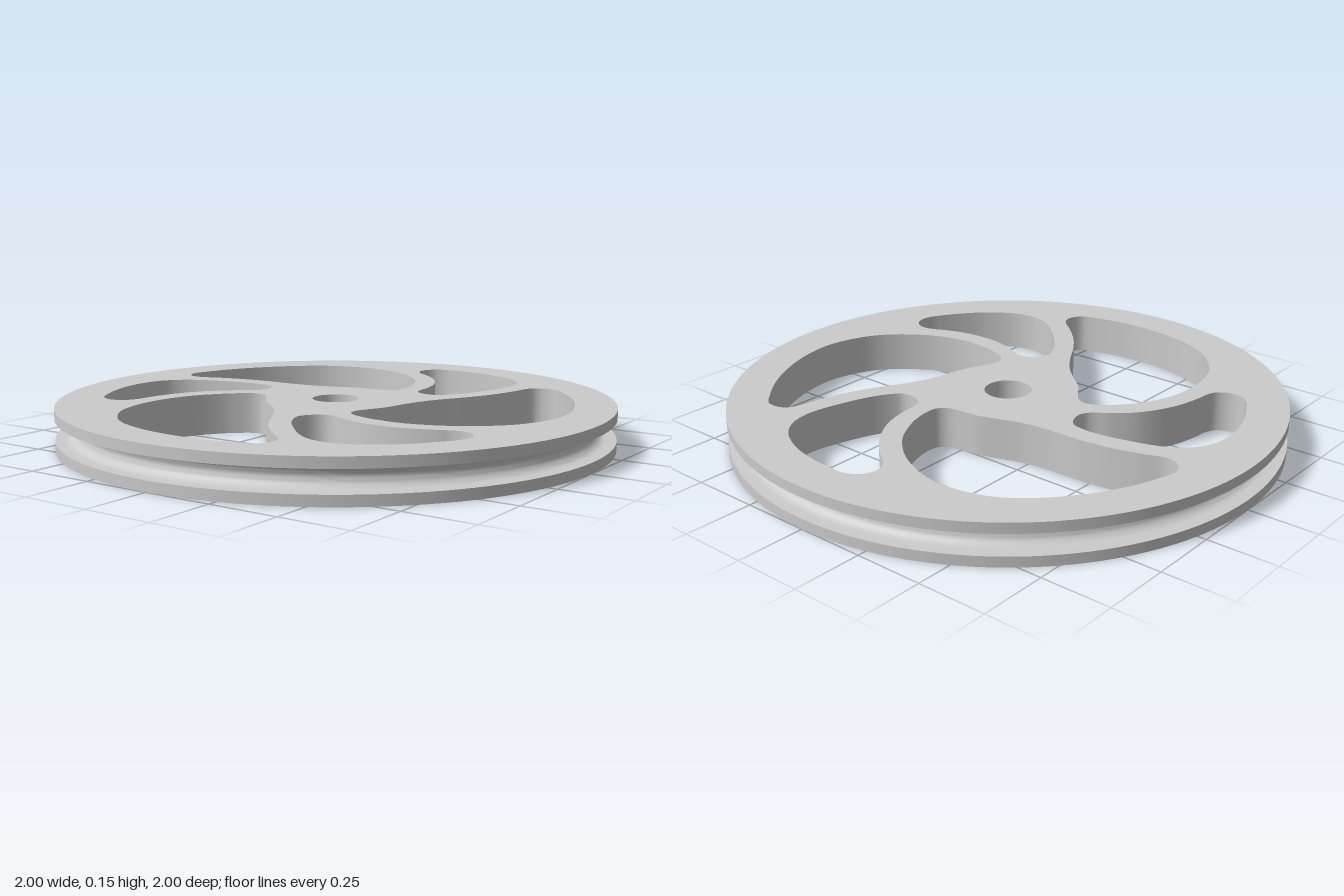
import * as THREE from 'three';
import { ParametricGeometry } from 'three/addons/geometries/ParametricGeometry.js';
import { toCreasedNormals } from 'three/addons/utils/BufferGeometryUtils.js';

const THICKNESS = 0.15;
const GROOVE = 0.038; // groove radius
const STEPS = 120; // points around each opening

// Opening outlines as x, z pairs, counter-clockwise seen from above
const LARGE = [
  0.086, -0.316, 0.075, -0.396, 0.048, -0.465, 0, -0.545, -0.086, -0.626, -0.182, -0.679,
  -0.262, -0.704, -0.326, -0.711, -0.406, -0.702, -0.5, -0.672, -0.583, -0.616, -0.668, -0.529,
  -0.739, -0.427, -0.786, -0.334, -0.819, -0.241, -0.834, -0.176, -0.818, -0.139, -0.791, -0.115,
  -0.749, -0.112, -0.663, -0.142, -0.556, -0.169, -0.449, -0.181, -0.342, -0.183, -0.235, -0.195,
  -0.155, -0.219, -0.075, -0.246, -0.005, -0.254, 0.043, -0.262, 0.075, -0.283,
];
const SMALL = [
  0.182, -0.281, 0.207, -0.27, 0.235, -0.267, 0.266, -0.273, 0.296, -0.305, 0.332, -0.369,
  0.369, -0.481, 0.389, -0.572, 0.39, -0.636, 0.371, -0.7, 0.332, -0.751, 0.278, -0.79,
  0.193, -0.826, 0.112, -0.843, 0.032, -0.85, -0.037, -0.848, -0.08, -0.827, -0.102, -0.791,
  -0.102, -0.749, -0.075, -0.711, -0.032, -0.68, 0.032, -0.624, 0.086, -0.556, 0.128, -0.476,
  0.15, -0.385, 0.155, -0.326, 0.164, -0.301,
];
const BORE = Array.from({ length: 16 }, (_, i) => {
  const a = (i / 16) * Math.PI * 2;
  return [0.085 * Math.cos(a), -0.085 * Math.sin(a)];
}).flat();

// Closed smooth curve through an outline, turned about the axle
function outlineCurve(outline, angle = 0) {
  const points = [];
  for (let i = 0; i < outline.length; i += 2) {
    points.push(new THREE.Vector3(outline[i], 0, outline[i + 1])
      .applyAxisAngle(new THREE.Vector3(0, 1, 0), angle));
  }
  return new THREE.CatmullRomCurve3(points, true);
}

// Flat disc with openings; side is 1 for the top, -1 for the underside
function faceGeometry(curves, side) {
  const shape = new THREE.Shape().absarc(0, 0, 1, 0, Math.PI * 2, false);
  for (const curve of curves) {
    const points = curve.getSpacedPoints(STEPS).slice(0, -1);
    shape.holes.push(new THREE.Path(points.map((p) => new THREE.Vector2(p.x, -side * p.z))));
  }
  const geometry = new THREE.ShapeGeometry(shape, 128);
  geometry.rotateX(-side * Math.PI / 2);
  return geometry.translate(0, side > 0 ? THICKNESS : 0, 0);
}

// Upright wall that lines an opening, facing into it
function wallGeometry(curve) {
  return new ParametricGeometry((u, v, target) => {
    curve.getPointAt(u, target);
    target.y = THICKNESS * (1 - v);
  }, STEPS, 1);
}

// Outer edge with a round-bottomed groove
function rimGeometry() {
  const mid = THICKNESS / 2;
  const profile = [new THREE.Vector2(1, 0), new THREE.Vector2(1, mid - GROOVE)];
  for (let i = 0; i <= 16; i++) {
    const a = (i / 16) * Math.PI;
    profile.push(new THREE.Vector2(1 - GROOVE - GROOVE * Math.sin(a), mid - GROOVE * Math.cos(a)));
  }
  profile.push(new THREE.Vector2(1, mid + GROOVE), new THREE.Vector2(1, THICKNESS));
  return toCreasedNormals(new THREE.LatheGeometry(profile, 128), 0.6);
}

export function createModel() {
  const wheel = new THREE.Group();
  wheel.name = 'pulleyWheel';
  const material = new THREE.MeshStandardMaterial({ color: 0xcccccc });
  const add = (name, geometry) => {
    const mesh = new THREE.Mesh(geometry, material);
    mesh.name = name;
    wheel.add(mesh);
  };

  // Axle bore plus three pairs of openings that leave the curved spokes
  const curves = [outlineCurve(BORE)];
  add('axleBore', wallGeometry(curves[0]));
  for (let i = 0; i < 3; i++) {
    const angle = (i * Math.PI * 2) / 3;
    for (const [name, outline] of [['largeOpening', LARGE], ['smallOpening', SMALL]]) {
      const curve = outlineCurve(outline, angle);
      curves.push(curve);
      add(name + (i + 1), wallGeometry(curve));
    }
  }

  add('topFace', faceGeometry(curves, 1));
  add('bottomFace', faceGeometry(curves, -1));
  add('groovedRim', rimGeometry());
  return wheel;
}
